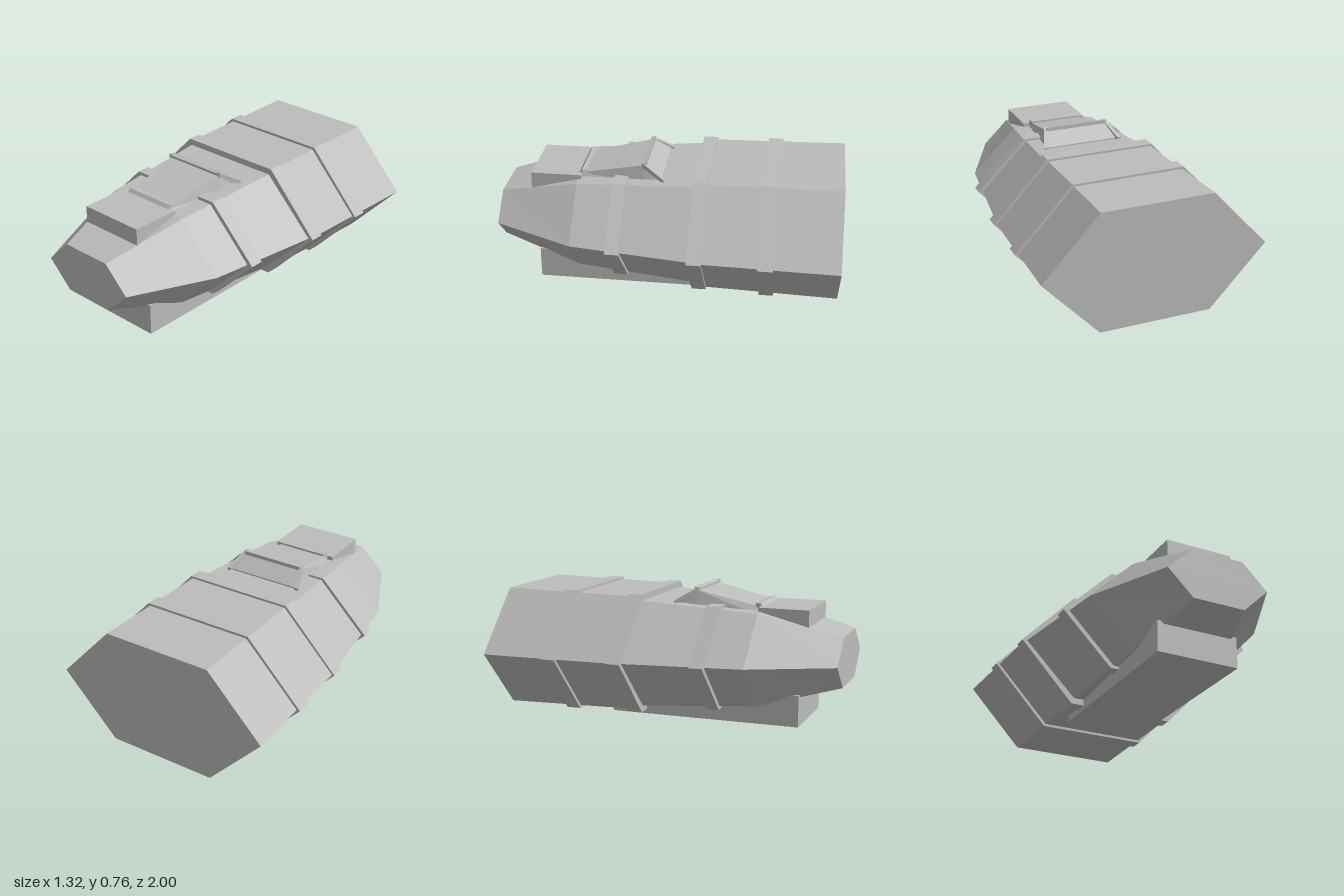
import * as THREE from 'three';

const MID = 0.372; // height of the hull's widest edge

// Six-sided hull section: half width w, half height h
const hex = (z, w, h, t = w / 2) => ({
  z, pts: [[w, MID], [t, MID + h], [-t, MID + h], [-w, MID], [-t, MID - h], [t, MID - h]],
});

// Four-sided section: bottom and top half widths and heights
const quad = (z, bottom, y0, top, y1) => ({
  z, pts: [[-bottom, y0], [bottom, y0], [top, y1], [-top, y1]],
});

// Small rectangular section at an offset, for posts
const post = (z, x0, x1, y0, y1) => ({ z, pts: [[x0, y0], [x1, y0], [x1, y1], [x0, y1]] });

// Closed flat-sided solid through sections ordered from front to back
function loft(sections) {
  const pos = [];
  const add = (s, i) => pos.push(s.pts[i][0], s.pts[i][1], s.z);
  const n = sections[0].pts.length;
  for (let k = 0; k < sections.length - 1; k++) {
    const a = sections[k], b = sections[k + 1];
    for (let i = 0; i < n; i++) {
      const j = (i + 1) % n;
      add(b, i); add(b, j); add(a, j);
      add(b, i); add(a, j); add(a, i);
    }
  }
  const front = sections[0], back = sections[sections.length - 1];
  for (let i = 1; i < n - 1; i++) {
    add(front, 0); add(front, i); add(front, i + 1);
    add(back, 0); add(back, i + 1); add(back, i);
  }
  const g = new THREE.BufferGeometry();
  g.setAttribute('position', new THREE.Float32BufferAttribute(pos, 3));
  g.computeVertexNormals();
  return g;
}

export function createModel() {
  const model = new THREE.Group();
  const grey = new THREE.MeshStandardMaterial({ color: 0xbcbcbc });
  grey.name = 'hull grey';

  const part = (name, geometry) => {
    const mesh = new THREE.Mesh(geometry, grey);
    mesh.name = name;
    model.add(mesh);
    return mesh;
  };
  const box = (name, w, y0, y1, z0, z1) => {
    part(name, new THREE.BoxGeometry(w, y1 - y0, z1 - z0))
      .position.set(0, (y0 + y1) / 2, (z0 + z1) / 2);
  };

  // Tapered hull
  part('hull', loft([
    hex(1, 0.305, 0.145, 0.155),
    hex(0.53, 0.525, 0.266),
    hex(-0.15, 0.618, 0.31),
    hex(-0.23, 0.632, 0.334),
    hex(-1, 0.652, 0.348),
  ]));

  // Raised bands around the hull
  [
    [0.315, 0.235, 0.59, 0.298],
    [-0.15, -0.233, 0.648, 0.347],
    [-0.545, -0.63, 0.662, 0.355],
  ].forEach(([z0, z1, w, h], i) => part('band' + (i + 1), loft([hex(z0, w, h), hex(z1, w, h)])));

  // Underside block and nose block
  box('bellyBlock', 0.49, 0, 0.183, -0.365, 0.77);
  box('noseBlock', 0.4, 0.556, 0.663, 0.515, 0.81);
  box('noseBlockFoot', 0.414, 0.595, 0.612, 0.56, 0.64);

  // Wedge-shaped canopy with a bar along its front edge
  part('canopy', loft([
    quad(0.52, 0.18, 0.61, 0.15, 0.66),
    quad(0.145, 0.212, 0.64, 0.187, 0.745),
    quad(0.04, 0.21, 0.64, 0.205, 0.665),
  ]));
  part('canopyFrontBar', loft([
    quad(0.535, 0.16, 0.645, 0.155, 0.66),
    quad(0.515, 0.165, 0.65, 0.16, 0.682),
    quad(0.485, 0.155, 0.65, 0.15, 0.68),
  ]));

  // Sloping rear panel, its top bar and its side posts
  part('canopyRearPanel', loft([
    quad(0.15, 0.19, 0.735, 0.19, 0.757),
    quad(0.04, 0.22, 0.655, 0.22, 0.677),
  ]));
  part('canopyTopBar', loft([
    quad(0.158, 0.19, 0.738, 0.188, 0.756),
    quad(0.13, 0.197, 0.735, 0.19, 0.764),
  ]));
  for (const s of [-1, 1]) {
    const at = (z, inner, outer, y0, y1) =>
      post(z, Math.min(s * inner, s * outer), Math.max(s * inner, s * outer), y0, y1);
    part(s > 0 ? 'leftRearPost' : 'rightRearPost', loft([
      at(0.155, 0.175, 0.198, 0.735, 0.763),
      at(0.025, 0.222, 0.247, 0.66, 0.684),
    ]));
  }
  return model;
}
